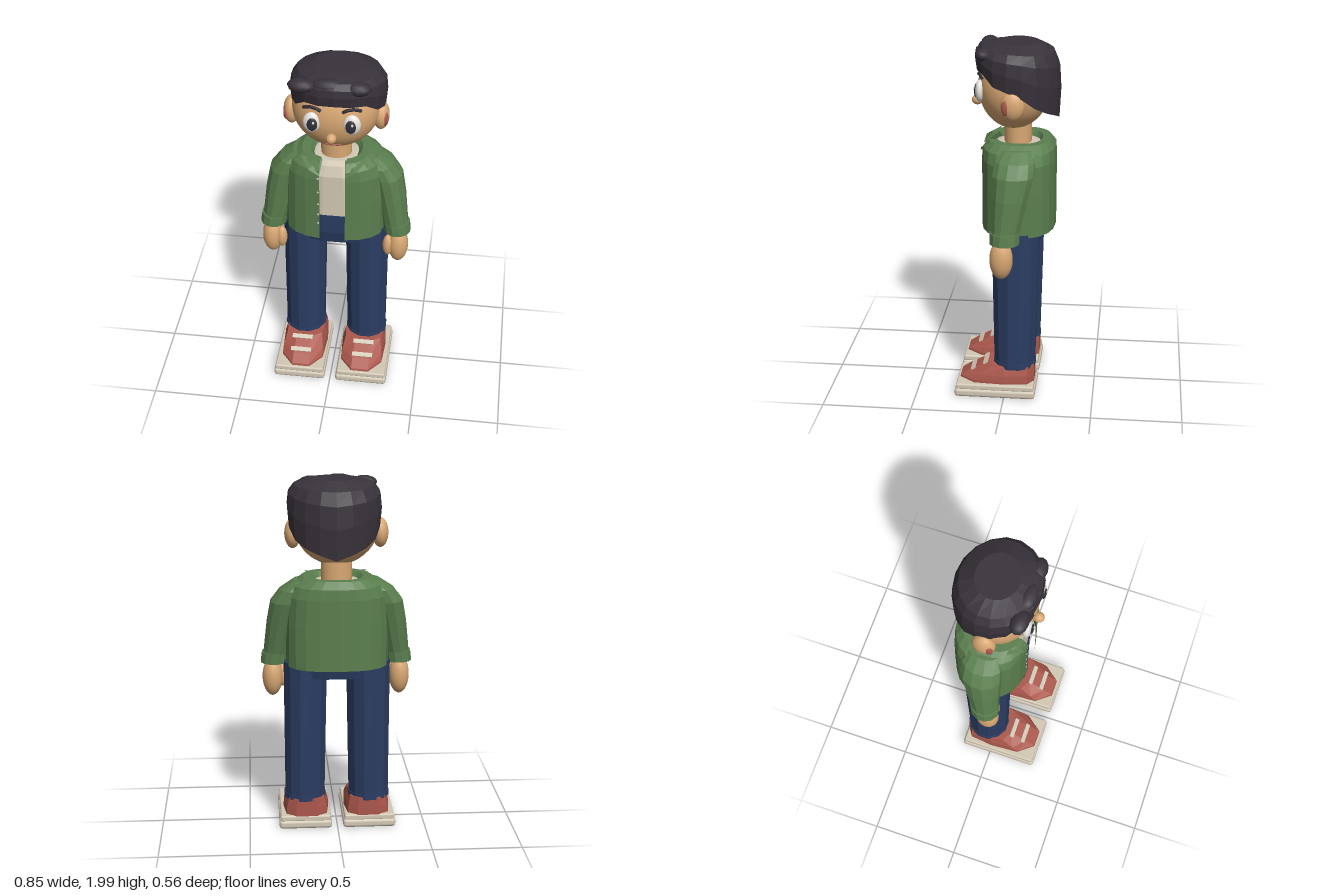
import * as THREE from 'three';
import { RoundedBoxGeometry } from 'three/addons/geometries/RoundedBoxGeometry.js';

const colours = {
  skin: 0xd9a873, green: 0x5b7f4f, navy: 0x2b3d63, hair: 0x38323a, red: 0xab584c,
  cream: 0xd3c8b5, eyeWhite: 0xe6e4de, pupil: 0x34313a,
};

export function createModel() {
  const model = new THREE.Group();
  model.name = 'standingFigure';
  const mats = {};
  for (const [name, color] of Object.entries(colours)) {
    mats[name] = new THREE.MeshStandardMaterial({ color });
    mats[name].name = name;
  }
  mats.green.side = THREE.DoubleSide;
  mats.hair.side = THREE.DoubleSide;

  const add = (name, geometry, mat, x = 0, y = 0, z = 0) => {
    const mesh = new THREE.Mesh(geometry, mats[mat]);
    mesh.name = name;
    mesh.position.set(x, y, z);
    model.add(mesh);
    return mesh;
  };
  const ball = (name, mat, [x, y, z], [rx, ry, rz], w = 20, h = 14) =>
    add(name, new THREE.SphereGeometry(1, w, h).scale(rx, ry, rz), mat, x, y, z);

  // Faceted skin over rows of points listed from bottom to top
  function skin(rows, closed = true, capBottom = true, capTop = true) {
    const out = [];
    const tri = (a, b, c) => out.push(...a, ...b, ...c);
    const n = rows[0].length;
    const last = closed ? n : n - 1;
    for (let j = 0; j < rows.length - 1; j++) {
      for (let i = 0; i < last; i++) {
        const k = (i + 1) % n;
        tri(rows[j][i], rows[j][k], rows[j + 1][k]);
        tri(rows[j][i], rows[j + 1][k], rows[j + 1][i]);
      }
    }
    const cap = (row, up) => {
      const mid = [0, 1, 2].map((d) => row.reduce((s, p) => s + p[d], 0) / n);
      for (let i = 0; i < n; i++) {
        const k = (i + 1) % n;
        if (up) tri(row[i], row[k], mid);
        else tri(row[k], row[i], mid);
      }
    };
    if (capBottom) cap(rows[0], false);
    if (capTop) cap(rows[rows.length - 1], true);
    const g = new THREE.BufferGeometry();
    g.setAttribute('position', new THREE.Float32BufferAttribute(out, 3));
    g.computeVertexNormals();
    return g;
  }
  const soft = (v, p) => Math.sign(v) * Math.abs(v) ** p;
  const oval = (a, [x, y, z, rx, rz], p = 1) => [x + rx * soft(Math.sin(a), p), y, z + rz * soft(Math.cos(a), p)];
  const loft = (rings, n, p = 1) =>
    skin(rings.map((r) => Array.from({ length: n }, (_, i) => oval(((i + 0.5) / n) * Math.PI * 2, r, p))));

  // Trousers, shirt and neck
  add('hips', loft([[0, 0.9, -0.055, 0.26, 0.14], [0, 0.98, -0.055, 0.265, 0.16], [0, 1.1, -0.055, 0.25, 0.165]], 16, 0.85), 'navy');
  add('shirt', loft([[0, 1.09, -0.055, 0.24, 0.16], [0, 1.36, -0.055, 0.22, 0.16],
    [0, 1.42, -0.055, 0.17, 0.14], [0, 1.435, -0.05, 0.11, 0.1]], 16, 0.85), 'cream');
  add('neck', new THREE.CylinderGeometry(0.085, 0.085, 0.16, 20).scale(1, 1, 0.88), 'skin', 0, 1.48, -0.05);

  // Open jacket body, each row [y, x scale, z scale]
  const jacketRows = [[0.965, 1, 1], [1.2, 1, 1], [1.36, 0.97, 1], [1.42, 0.87, 0.98],
    [1.46, 0.66, 0.85], [1.46, 0.5, 0.62], [1.43, 0.42, 0.55]].map(([y, sx, sz]) => {
    const rx = 0.285 * sx;
    const gap = (0.07 / rx) ** (1 / 0.8);
    const start = Math.asin(gap);
    const n = 20;
    return Array.from({ length: n + 1 }, (_, i) =>
      oval(start + ((Math.PI * 2 - 2 * start) * i) / n, [0, y, -0.06, rx, 0.205 * sz], 0.8));
  });
  add('jacketBody', skin(jacketRows, false, false, false), 'green');
  for (const y of [1.07, 1.13, 1.2, 1.28, 1.37]) ball('button', 'cream', [-0.078, y, 0.137], [0.008, 0.008, 0.008], 8, 6);

  for (const s of [1, -1]) {
    // Folded collar flap
    const inner = [[0.06, 1.455, 0.07], [0.07, 1.395, 0.15]];
    const outer = [[0.18, 1.462, 0.06], [0.13, 1.43, 0.14]];
    const flap = [inner, outer].map((r) => r.map(([x, y, z]) => [x * s, y, z]));
    add('collarFlap', skin(flap, false, false, false), 'green');

    // Sleeve and cuff
    add('sleeve', loft([[s * 0.35, 0.975, -0.01, 0.068, 0.075], [s * 0.335, 1.03, -0.015, 0.073, 0.08],
      [s * 0.305, 1.2, -0.035, 0.085, 0.1], [s * 0.28, 1.32, -0.05, 0.088, 0.115],
      [s * 0.245, 1.39, -0.055, 0.07, 0.11], [s * 0.2, 1.44, -0.06, 0.04, 0.08]], 12), 'green');
    add('cuff', loft([[s * 0.35, 0.96, -0.01, 0.076, 0.082], [s * 0.342, 1.02, -0.012, 0.076, 0.083]], 12), 'green');

    // Hand with thumb
    ball('hand', 'skin', [s * 0.358, 0.868, 0.008], [0.057, 0.112, 0.064]);
    ball('thumb', 'skin', [s * 0.302, 0.87, 0.03], [0.03, 0.068, 0.032]);

    // Trouser leg with hem
    add('leg', loft([[s * 0.182, 0.185, -0.052, 0.115, 0.118], [s * 0.176, 0.98, -0.055, 0.124, 0.135]], 12), 'navy');
    add('legHem', loft([[s * 0.182, 0.17, -0.052, 0.12, 0.122], [s * 0.182, 0.2, -0.052, 0.12, 0.122]], 12), 'navy');

    // Shoe: two-layer sole, tapering upper and laces
    add('sole', new RoundedBoxGeometry(0.3, 0.05, 0.455, 2, 0.018), 'cream', s * 0.182, 0.03, 0.0525);
    add('midsole', new RoundedBoxGeometry(0.285, 0.035, 0.44, 2, 0.01), 'cream', s * 0.182, 0.065, 0.0525);
    const half = [[0.05, 0.26], [0.12, 0.17], [0.13, 0], [0.115, -0.13], [0.06, -0.165]];
    const outline = [...half, ...half.map(([x, z]) => [-x, z]).reverse()];
    const upper = [[0.075, 1, 1], [0.095, 1, 0.98], [0.13, 0.97, 0.78], [0.185, 0.85, 0.4]].map(([y, kx, kz]) =>
      outline.map(([x, z]) => [s * 0.175 + x * kx, y, z > 0 ? z * kz : z]));
    add('shoeUpper', skin(upper), 'red');
    for (const [y, z] of [[0.183, 0.112], [0.144, 0.182]])
      add('lace', new THREE.BoxGeometry(0.12, 0.009, 0.026), 'cream', s * 0.182, y, z).rotation.x = 0.5;

    // Ear
    ball('ear', 'skin', [s * 0.24, 1.693, -0.042], [0.045, 0.082, 0.064]);
    ball('innerEar', 'red', [s * 0.268, 1.69, -0.008], [0.014, 0.042, 0.024], 12, 10);

    // Eye and brow
    ball('eyeWhite', 'eyeWhite', [s * 0.106, 1.74, 0.148], [0.047, 0.06, 0.026]);
    ball('pupil', 'pupil', [s * 0.102, 1.738, 0.168], [0.028, 0.039, 0.011]);
    ball('eyeGlint', 'eyeWhite', [s * 0.102 + 0.008, 1.753, 0.178], [0.007, 0.009, 0.004], 10, 8);
    const browPath = new THREE.QuadraticBezierCurve3(new THREE.Vector3(s * 0.058, 1.817, 0.157),
      new THREE.Vector3(s * 0.1, 1.85, 0.158), new THREE.Vector3(s * 0.152, 1.818, 0.13));
    add('eyebrow', new THREE.TubeGeometry(browPath, 8, 0.009, 6), 'hair');
  }

  // Head, nose and mouth
  ball('head', 'skin', [0, 1.745, -0.03], [0.236, 0.23, 0.197], 32, 22);
  ball('nose', 'skin', [0, 1.662, 0.175], [0.028, 0.028, 0.03]);
  const mouthPath = new THREE.QuadraticBezierCurve3(new THREE.Vector3(-0.046, 1.588, 0.109),
    new THREE.Vector3(0, 1.58, 0.119), new THREE.Vector3(0.046, 1.588, 0.109));
  add('mouth', new THREE.TubeGeometry(mouthPath, 10, 0.005, 6), 'red');

  // Hair cap with a hairline that dips at the temples and falls to the nape
  const hairline = [[0, 1.86], [0.7, 1.845], [1.15, 1.775], [1.57, 1.765], [2.2, 1.66], [3.15, 1.58]];
  const lineAt = (a) => {
    const i = hairline.findIndex(([b], k) => k > 0 && a <= b);
    const [a0, y0] = hairline[i - 1];
    const [a1, y1] = hairline[i];
    return y0 + ((y1 - y0) * (a - a0)) / (a1 - a0);
  };
  const hairRows = [[0, 0.965], [0.4, 1], [0.7, 0.97], [0.88, 0.85], [1, 0.5]].map(([t, k]) =>
    Array.from({ length: 18 }, (_, i) => {
      const a = (i / 18) * Math.PI * 2;
      const low = lineAt(Math.min(a, Math.PI * 2 - a));
      return oval(a, [0.013, low + (1.995 - low) * t, -0.05, 0.26 * k, 0.235 * k]);
    }));
  add('hairCap', skin(hairRows, true, false, true), 'hair');
  for (const [x, y, r] of [[-0.162, 1.945, 0.074], [-0.02, 1.955, 0.09], [0.132, 1.945, 0.07]])
    ball('curl', 'hair', [x, y, 0.122], [r, 0.037, 0.048], 12, 8);

  return model;
}
